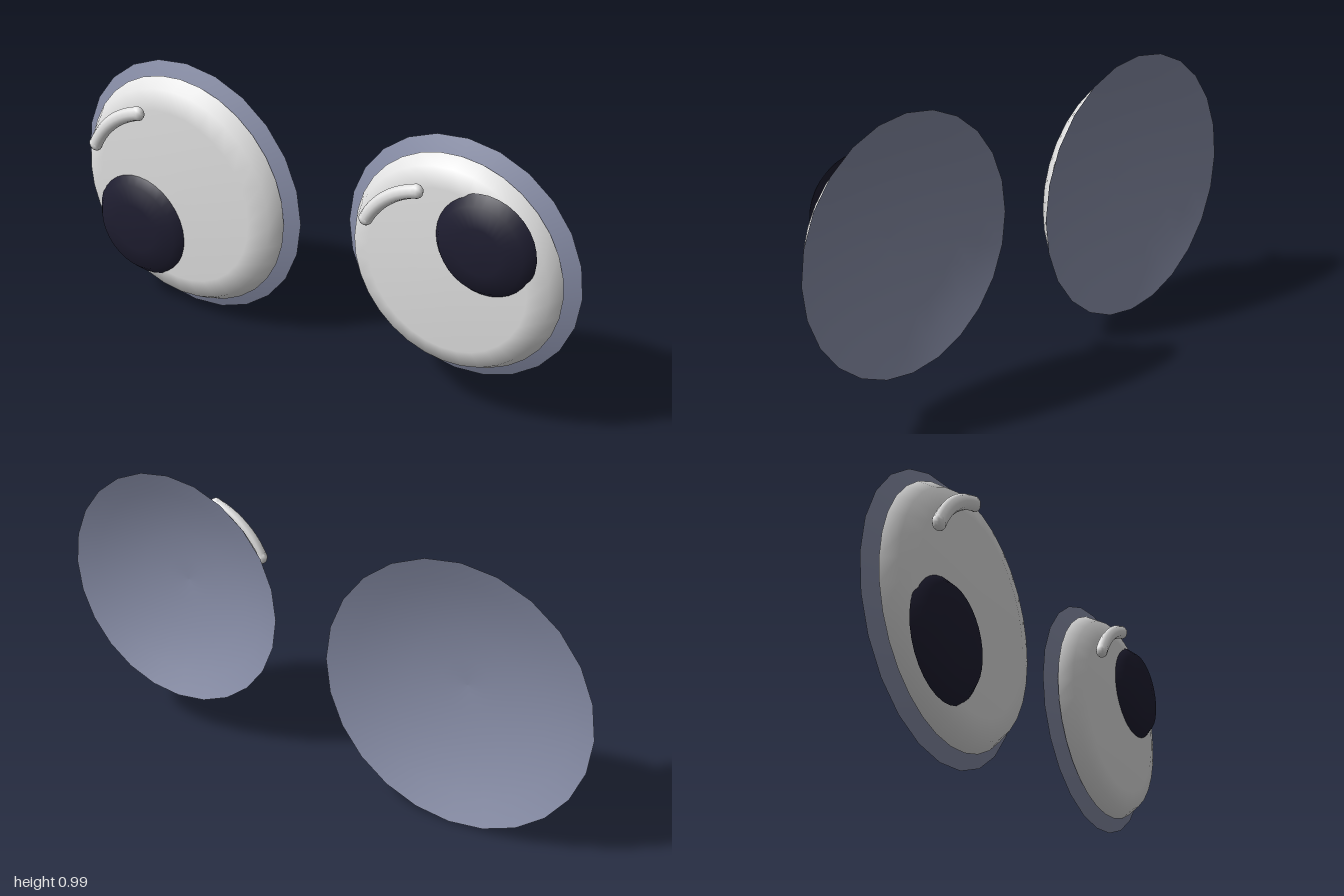
import * as THREE from 'three';

const mat = (name, color, side = THREE.FrontSide) => {
  const m = new THREE.MeshStandardMaterial({ color, side });
  m.name = name;
  return m;
};

export function createModel() {
  const rimMat = mat('slate rim', 0x8a90aa, THREE.DoubleSide);
  const whiteMat = mat('eye white', 0xe4e4e4, THREE.DoubleSide);
  const pupilMat = mat('dark pupil', 0x1f1e31, THREE.DoubleSide);

  const add = (parent, name, geometry, material, x = 0, y = 0, z = 0) => {
    const mesh = new THREE.Mesh(geometry, material);
    mesh.name = name;
    mesh.position.set(x, y, z);
    parent.add(mesh);
    return mesh;
  };

  // Shell turned around z; the profile of [radius, z] runs from back to front
  const turned = (profile, sides) =>
    new THREE.LatheGeometry(profile.map(([r, z]) => new THREE.Vector2(r, z)), sides).rotateX(Math.PI / 2);

  // Shallow bowl, open at the back
  const bowlProfile = (rim) =>
    [1, 0.82, 0.62, 0.42, 0.2, 0].map((t) => [rim * t, -0.085 + 0.094 * (1 - t * t)]);

  function createEye(name, { x, y, rim, white, pupil, shine }) {
    const eye = new THREE.Group();
    eye.name = name;
    eye.position.set(x, y, 0);

    // Hollow backing shell whose edge frames the eye
    add(eye, 'backing', turned(bowlProfile(rim), 24), rimMat);

    // Shallow domed eye white
    add(eye, 'eyeWhite', turned([[white, -0.05], [white * 0.93, -0.003], [white * 0.76, 0.017], [0, 0.018]], 32), whiteMat);

    // Off-centre pupil
    const [px, py, pr] = pupil;
    add(eye, 'pupil', turned([[pr, 0.01], [pr * 0.835, 0.045], [pr * 0.45, 0.06], [0, 0.061]], 32), pupilMat, px, py);

    // Curved glint with rounded ends
    const [radius, tube] = shine;
    const start = THREE.MathUtils.degToRad(107);
    const end = THREE.MathUtils.degToRad(154);
    const glint = new THREE.Group();
    glint.name = 'glint';
    glint.position.z = 0.068;
    glint.scale.z = 0.02 / tube;
    eye.add(glint);
    add(glint, 'glintArc', new THREE.TorusGeometry(radius, tube, 8, 10, end - start).rotateZ(start), whiteMat);
    for (const a of [start, end]) {
      add(glint, 'glintEnd', new THREE.SphereGeometry(tube, 10, 8), whiteMat, Math.cos(a) * radius, Math.sin(a) * radius);
    }
    return eye;
  }

  const model = new THREE.Group();
  model.name = 'googlyEyes';
  model.add(
    createEye('rightEye', { x: -0.525, y: 0.479, rim: 0.476, white: 0.43, pupil: [-0.151, -0.157, 0.2], shine: [0.335, 0.026] }),
    createEye('leftEye', { x: 0.573, y: 0.566, rim: 0.425, white: 0.378, pupil: [0.131, 0.134, 0.176], shine: [0.296, 0.024] })
  );
  return model;
}
